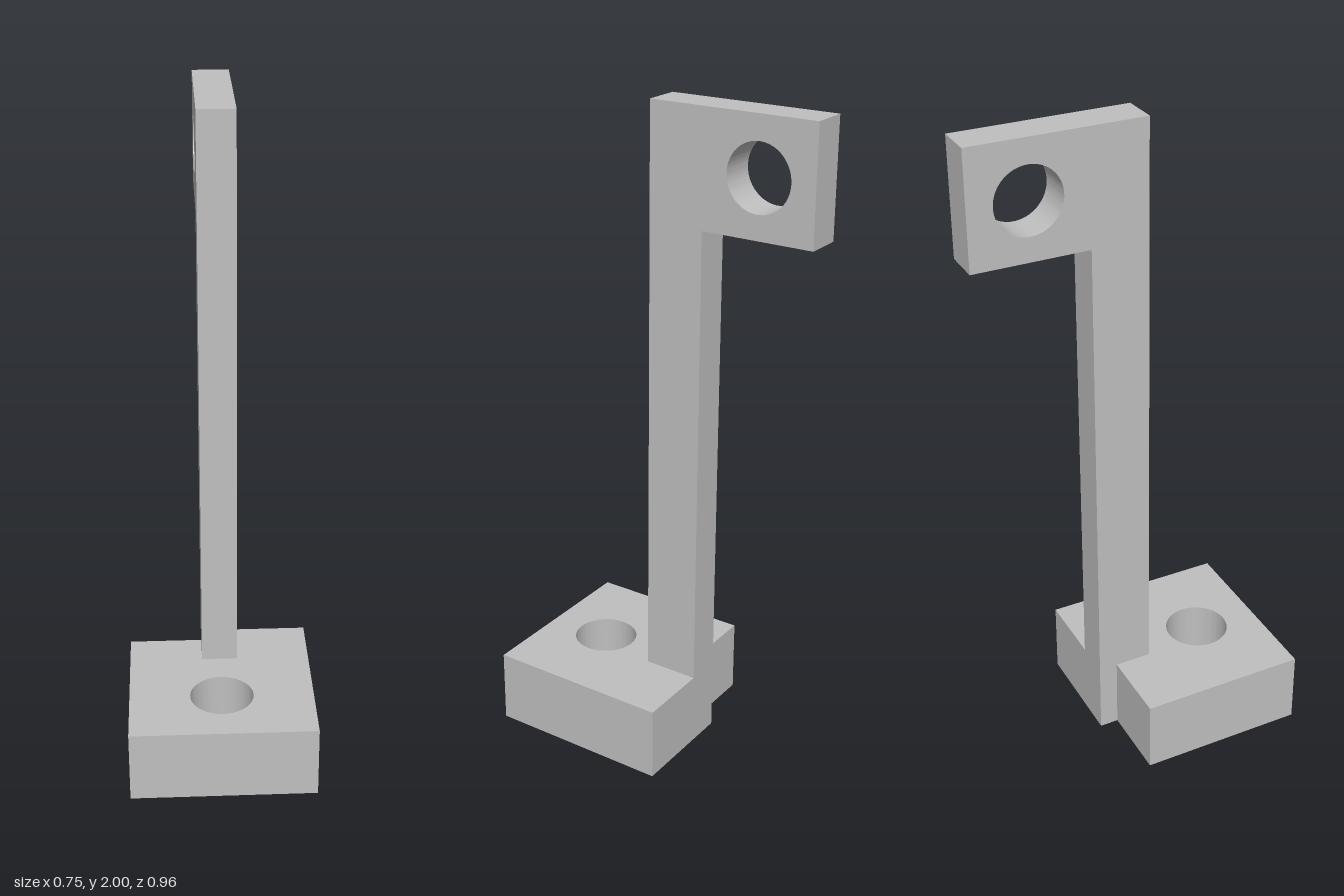
import * as THREE from 'three';
import { toCreasedNormals } from 'three/addons/utils/BufferGeometryUtils.js';

const BASE_HEIGHT = 0.23;
const HOLE_RADIUS = 0.098;
const POST_LEFT = -0.113, POST_RIGHT = -0.001;
const BACK = -0.215; // shared back plane of post and base

// Extrudes an outline with one round through hole
function platePart(points, hole, depth) {
  const shape = new THREE.Shape(points.map(([x, y]) => new THREE.Vector2(x, y)));
  const circle = new THREE.Path();
  circle.absarc(hole[0], hole[1], HOLE_RADIUS, 0, Math.PI * 2, true);
  shape.holes.push(circle);
  return new THREE.ExtrudeGeometry(shape, { depth, bevelEnabled: false, curveSegments: 48 });
}

export function createModel() {
  const model = new THREE.Group();
  model.name = 'bracketStand';
  const grey = new THREE.MeshStandardMaterial({ color: 0xbfbfbf });
  grey.name = 'plain grey';

  const add = (name, geometry) => {
    const mesh = new THREE.Mesh(toCreasedNormals(geometry, 0.5), grey);
    mesh.name = name;
    model.add(mesh);
  };

  // Base block with a bolt hole and a stepped back edge (outline y is -z)
  const base = platePart([
    [-0.343, -0.356], [0.228, -0.356], [0.228, -BACK],
    [POST_LEFT, -BACK], [POST_LEFT, 0.157], [-0.343, 0.157],
  ], [-0.057, -0.158], BASE_HEIGHT);
  base.rotateX(-Math.PI / 2);
  add('base', base);

  // Upright post and its pierced head, cut from one plate (outline x is z)
  const post = platePart([
    [BACK, BASE_HEIGHT], [-0.044, BASE_HEIGHT], [-0.044, 2],
    [-0.558, 2], [-0.558, 1.66], [BACK, 1.66],
  ], [-0.387, 1.83], POST_RIGHT - POST_LEFT);
  post.rotateY(-Math.PI / 2);
  post.translate(POST_RIGHT, 0, 0);
  add('postWithHead', post);

  // The whole stand is turned on its vertical axis
  model.rotation.y = Math.PI / 6;
  return model;
}
